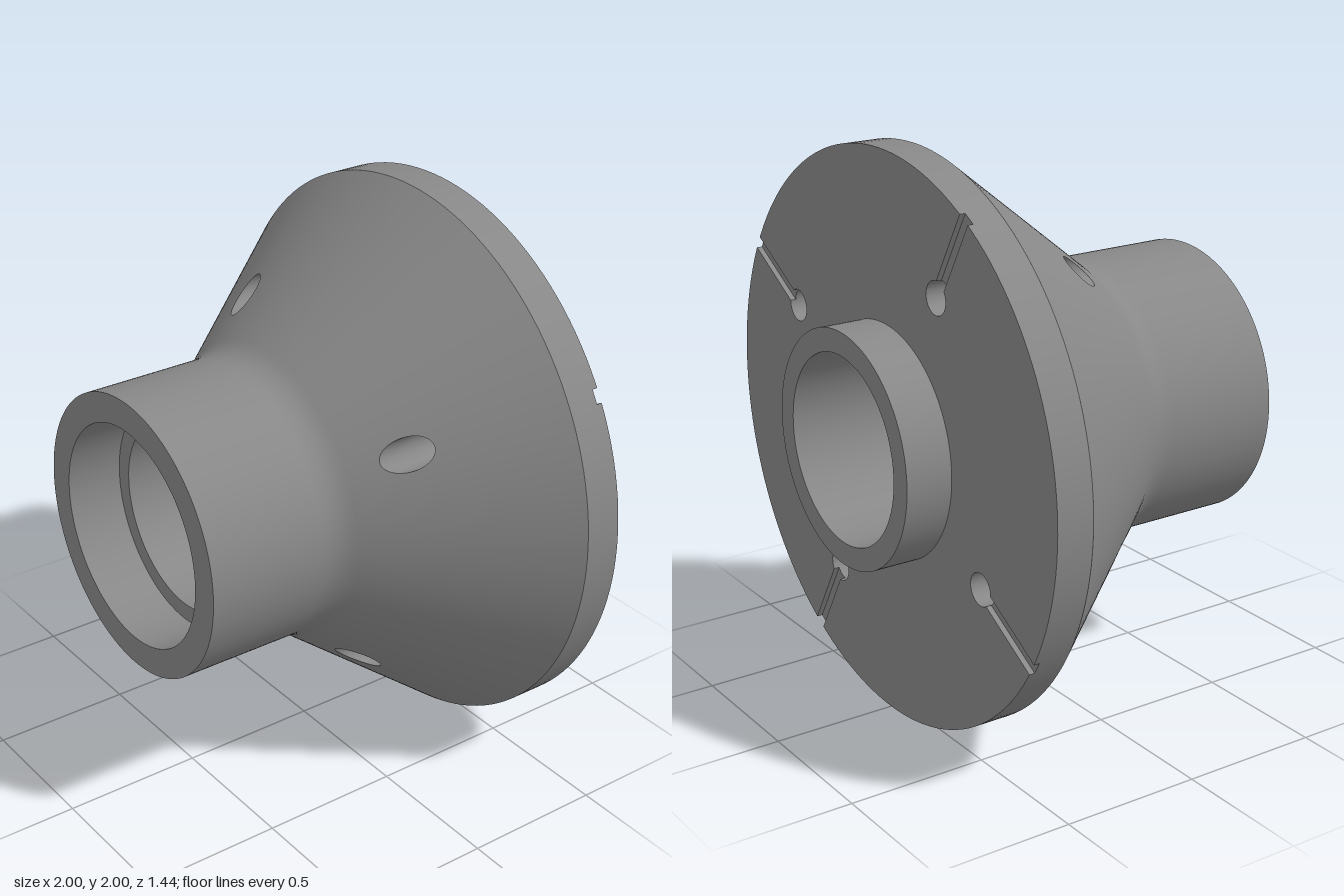
import * as THREE from 'three';
import { toCreasedNormals } from 'three/addons/utils/BufferGeometryUtils.js';

const RIM = 1, BORE = 0.333, HUB = 0.415, NECK = 0.5, COUNTER = 0.395;
const FRONT = 0.718, BACK = -0.718, PLATE = -0.55, FLOOR = -0.53, EDGE = -0.417;
const HOLE = 0.057, PITCH = 0.667, SLOT = 0.025; // hole radius, its pitch radius, half groove width
const SLOPE = 1.28, FILLET_R = 0.537, START = Math.PI / 6, GREY = 0x888888;

const coneZ = r => EDGE + (RIM - r) * SLOPE;
const V2 = (x, y) => new THREE.Vector2(x, y);
const polar = (r, a) => V2(r * Math.cos(a), r * Math.sin(a));

// Quarter of the cone, lofted from a round hole on +x out to the sector border
function coneQuarter() {
  const q = Math.PI / 4, border = [];
  const side = (a0, r0, a1, r1, n) => {
    for (let i = 0; i < n; i++) border.push([a0 + (a1 - a0) * i / n, r0 + (r1 - r0) * i / n]);
  };
  side(-q, RIM, q, RIM, 36);
  side(q, RIM, q, FILLET_R, 12);
  side(q, FILLET_R, -q, FILLET_R, 36);
  side(-q, FILLET_R, -q, RIM, 12);
  const n = border.length, rows = 18, pos = [], nor = [], idx = [];
  const len = Math.hypot(SLOPE, 1);
  for (let i = 0; i <= rows; i++) {
    const t = Math.pow(i / rows, 1.3);
    for (let j = 0; j < n; j++) {
      const p = polar(HOLE, (j / n) * Math.PI * 2 - Math.PI * 0.375);
      p.x += PITCH;
      const a = THREE.MathUtils.lerp(Math.atan2(p.y, p.x), border[j][0], t);
      const r = THREE.MathUtils.lerp(p.length(), border[j][1], t);
      pos.push(r * Math.cos(a), r * Math.sin(a), coneZ(r));
      nor.push(SLOPE * Math.cos(a) / len, SLOPE * Math.sin(a) / len, 1 / len);
      if (i < rows) {
        const k = (j + 1) % n, A = i * n + j, B = A + n, C = (i + 1) * n + k, D = i * n + k;
        idx.push(A, B, C, A, C, D);
      }
    }
  }
  const g = new THREE.BufferGeometry();
  g.setAttribute('position', new THREE.Float32BufferAttribute(pos, 3));
  g.setAttribute('normal', new THREE.Float32BufferAttribute(nor, 3));
  g.setIndex(idx);
  return g;
}

// Hole wall, its front end trimmed to the cone
function holeWall() {
  const g = new THREE.CylinderGeometry(HOLE, HOLE, 1, 96, 1, true).rotateX(Math.PI / 2);
  const p = g.attributes.position;
  for (let i = 0; i < p.count; i++) {
    const x = p.getX(i) + PITCH;
    p.setX(i, x);
    p.setZ(i, p.getZ(i) > 0 ? coneZ(Math.hypot(x, p.getY(i))) : FLOOR);
  }
  return g;
}

const beta = Math.asin(SLOT / HOLE), delta = Math.asin(SLOT / RIM);

// Points on the hole's edge from angle a0 to a1
function holeArc(a0, a1, n) {
  return Array.from({ length: n + 1 }, (_, i) => {
    const p = polar(HOLE, a0 + (a1 - a0) * i / n);
    p.x += PITCH;
    return p;
  });
}

// Back face cut by four keyhole grooves that run out to the rim
function backFace() {
  const pts = [], O = V2(0, 0);
  for (let k = 0; k < 4; k++) {
    const a = START + k * Math.PI / 2, from = a - Math.PI / 2;
    // rim points share the turned rim's divisions, with the groove mouths at both ends
    pts.push(polar(RIM, from + delta));
    for (let i = 1; i < 36; i++) pts.push(polar(RIM, from + Math.PI / 72 * i));
    pts.push(polar(RIM, a - delta));
    for (const p of holeArc(-beta, beta - Math.PI * 2, 48)) pts.push(p.rotateAround(O, a));
  }
  const shape = new THREE.Shape(pts);
  shape.holes.push(new THREE.Path().absarc(0, 0, HUB, 0, Math.PI * 2, true));
  const g = new THREE.ExtrudeGeometry(shape, { depth: FLOOR - PLATE, bevelEnabled: false, curveSegments: 72 });
  return toCreasedNormals(g.translate(0, 0, PLATE), 0.4);
}

// Groove bottom between the hole and the rim, facing back
function grooveFloor() {
  const pts = [...holeArc(beta, -beta, 10), polar(RIM, -delta), V2(RIM, 0), polar(RIM, delta)];
  return new THREE.ShapeGeometry(new THREE.Shape(pts)).rotateX(Math.PI).translate(0, 0, FLOOR);
}

export function createModel() {
  const model = new THREE.Group();
  model.name = 'flangedHub';
  const body = new THREE.Group();
  body.name = 'body';
  body.position.y = 1;
  model.add(body);

  const mat = new THREE.MeshStandardMaterial({ color: GREY });
  const inner = new THREE.MeshStandardMaterial({ color: GREY, side: THREE.BackSide });
  const add = (name, geo, m = mat, parent = body) => {
    const mesh = new THREE.Mesh(geo, m);
    mesh.name = name;
    parent.add(mesh);
  };
  // Turned surface about the z axis from (radius, z) points
  const turn = (name, pts) =>
    add(name, new THREE.LatheGeometry(pts.map(p => V2(...p)), 144).rotateX(Math.PI / 2));

  // Rear spigot and flange rim
  turn('spigotEnd', [[BORE, BACK], [HUB, BACK]]);
  turn('spigotSide', [[HUB, BACK], [HUB, PLATE]]);
  turn('flangeRim', [[RIM, FLOOR], [RIM, EDGE]]);

  // Neck with a fillet into the cone
  const fillet = new THREE.QuadraticBezierCurve(
    V2(FILLET_R, coneZ(FILLET_R)), V2(NECK, coneZ(NECK)), V2(NECK, 0.285));
  turn('neck', [...fillet.getPoints(10).map(p => [p.x, p.y]), [NECK, 0.31], [NECK, FRONT]]);

  // Front end, counterbore and through bore
  turn('neckEnd', [[NECK, FRONT], [COUNTER, FRONT]]);
  turn('counterbore', [[COUNTER, FRONT], [COUNTER, 0.515]]);
  turn('counterboreStep', [[COUNTER, 0.515], [BORE, 0.515]]);
  turn('bore', [[BORE, 0.515], [BORE, BACK]]);

  add('backFace', backFace());

  // Cone quarters, each with its bolt hole and groove
  const cone = coneQuarter(), wall = holeWall(), floor = grooveFloor();
  for (let k = 0; k < 4; k++) {
    const quarter = new THREE.Group();
    quarter.name = 'coneQuarter' + (k + 1);
    quarter.rotation.z = START + k * Math.PI / 2;
    add('cone', cone, mat, quarter);
    add('boltHole', wall, inner, quarter);
    add('grooveFloor', floor, mat, quarter);
    body.add(quarter);
  }
  return model;
}
